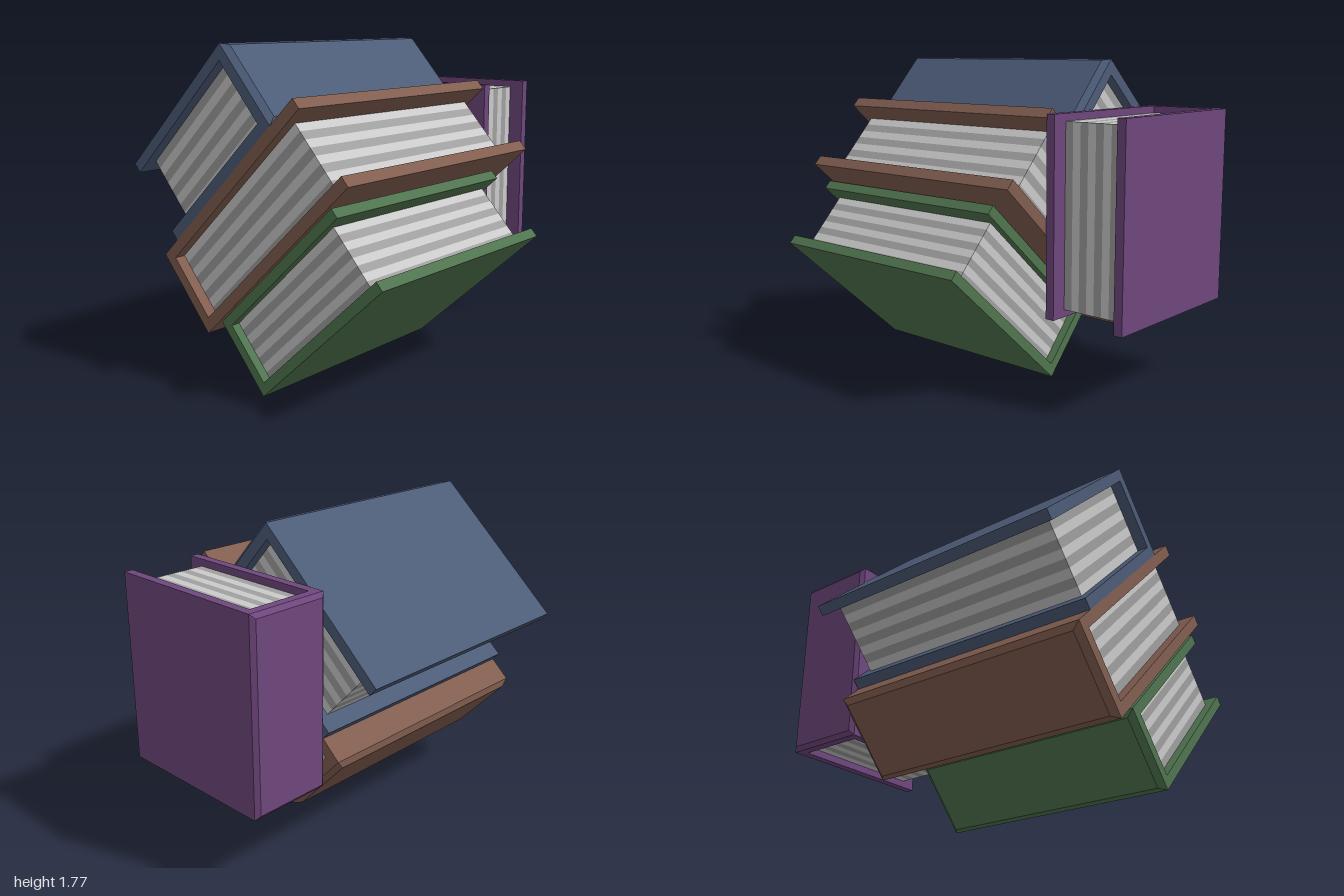
import * as THREE from 'three';

const material = color => new THREE.MeshStandardMaterial({ color, flatShading: true });
const lightPaper = material(0xcccccc);
const darkPaper = material(0xa0a0a0);
const TILT = THREE.MathUtils.degToRad(42.3);

// Box spanning x0..x1 and y0..y1, centred on z
function slab(name, mat, x0, x1, y0, y1, depth) {
  const mesh = new THREE.Mesh(new THREE.BoxGeometry(x1 - x0, y1 - y0, depth), mat);
  mesh.position.set((x0 + x1) / 2, (y0 + y1) / 2, 0);
  mesh.name = name;
  return mesh;
}

// One book: spine at x = 0, covers running along +x, thickness in y, spine length in z
function book(name, { color, length, thick, height, board, bevel, pageEnd, inset }) {
  const group = new THREE.Group();
  group.name = name;
  const cover = material(color);
  const half = thick / 2;
  const inner = half - board;

  group.add(slab('upperCover', cover, 0, length, inner, half, height));
  group.add(slab('lowerCover', cover, 0, length, -half, -inner, height));
  group.add(slab('spine', cover, 0, board, -inner, inner, height));

  // Spine back with bevelled rim: the outer face shrinks on all four sides
  const back = slab('spineBevel', cover, -bevel, 0, -half, half, height);
  const pos = back.geometry.attributes.position;
  for (let i = 0; i < pos.count; i++) {
    if (pos.getX(i) > 0) continue;
    pos.setY(i, pos.getY(i) - Math.sign(pos.getY(i)) * bevel * 1.2);
    pos.setZ(i, pos.getZ(i) - Math.sign(pos.getZ(i)) * bevel * 1.2);
  }
  back.geometry.computeVertexNormals();
  group.add(back);

  // Page block in alternating light and dark layers
  const layers = 8;
  const step = (2 * inner) / layers;
  for (let i = 0; i < layers; i++) {
    const top = inner - i * step;
    group.add(slab('pages', i % 2 ? darkPaper : lightPaper,
      board, pageEnd, top - step, top, height - 2 * inset));
  }
  return group;
}

// Place a book in the tilted stack: u along the slope, v across it
function placeTilted(group, u, v, z, flipped) {
  const c = Math.cos(TILT), s = Math.sin(TILT);
  group.position.set(u * c - v * s, u * s + v * c, z);
  group.rotation.z = TILT + (flipped ? Math.PI : 0);
  return group;
}

export function createModel() {
  const model = new THREE.Group();
  model.name = 'bookPile';

  // Three leaning books
  model.add(placeTilted(book('greenBook', {
    color: 0x507550, length: 1.057, thick: 0.449, height: 1.33,
    board: 0.054, bevel: 0.027, pageEnd: 0.967, inset: 0.048,
  }), 0.08, 0.154, 0.335, false));
  model.add(placeTilted(book('brownBook', {
    color: 0x825e50, length: 1.355, thick: 0.507, height: 1.52,
    board: 0.062, bevel: 0.029, pageEnd: 1.238, inset: 0.06,
  }), -0.067, 0.643, 0.24, false));
  model.add(placeTilted(book('blueBook', {
    color: 0x4d5c78, length: 1.002, thick: 0.513, height: 1.52,
    board: 0.06, bevel: 0.027, pageEnd: 0.91, inset: 0.06,
  }), 1.08, 1.153, 0.24, true));

  // Upright book behind the stack
  const upright = book('purpleBook', {
    color: 0x6f477e, length: 0.95, thick: 0.476, height: 1.06,
    board: 0.05, bevel: 0.02, pageEnd: 0.86, inset: 0.04,
  });
  upright.rotation.x = -Math.PI / 2;
  upright.position.set(-0.55, 0.975, -0.762);
  model.add(upright);

  return model;
}
